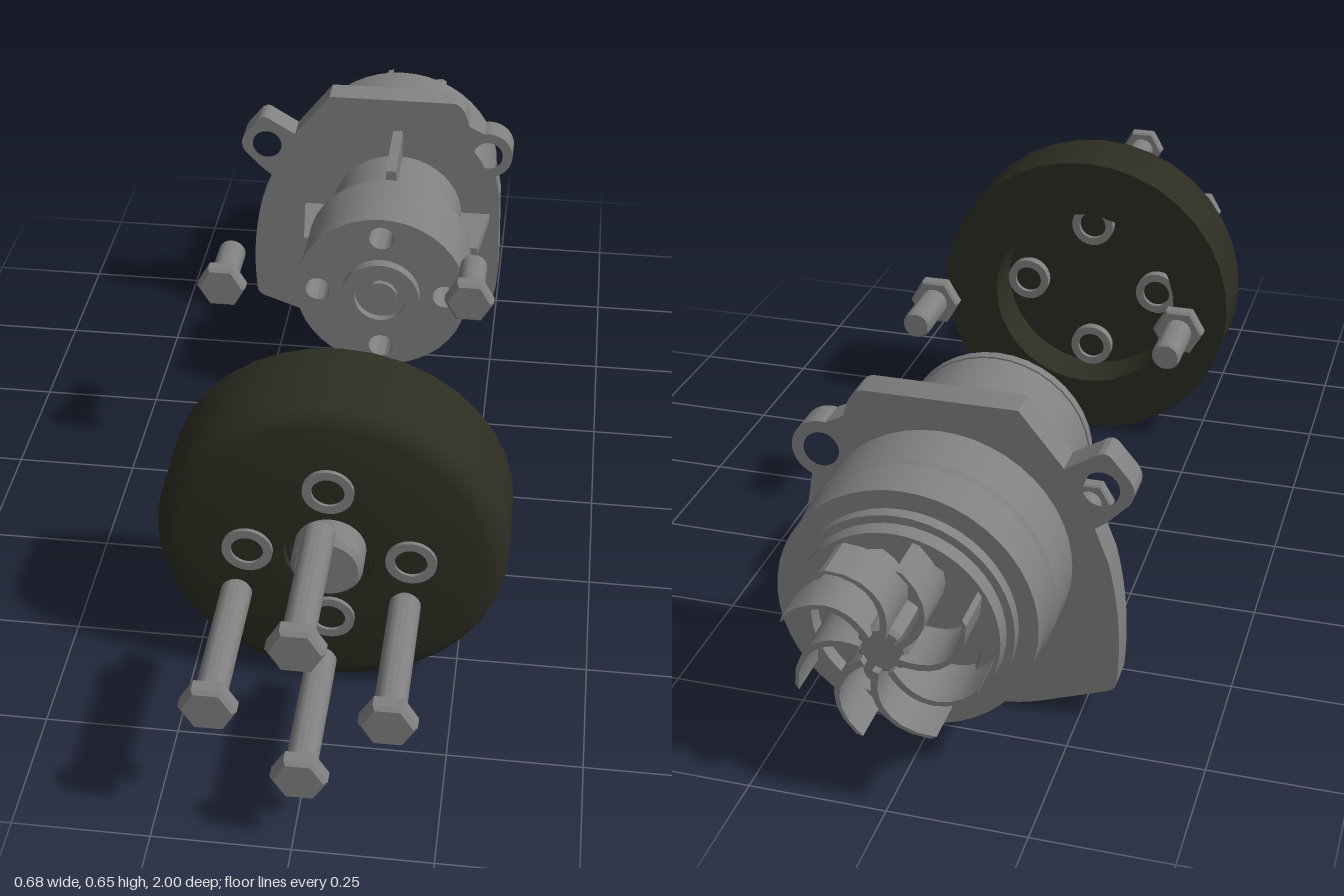
import * as THREE from 'three';
import { toCreasedNormals } from 'three/addons/utils/BufferGeometryUtils.js';

const steel = new THREE.MeshStandardMaterial({ color: 0x808080 });
steel.name = 'steel grey';
const rubber = new THREE.MeshStandardMaterial({ color: 0x2d2d22 });
rubber.name = 'dark olive';

const CX = 0.015, CY = 0.324; // drive axis
const PCD = 0.15;             // bolt circle radius

// Solid of revolution about the z axis; profile is [radius, z] from back to front
function turned(profile, segments = 40, phi = 0) {
  const g = new THREE.LatheGeometry(profile.map(([r, z]) => new THREE.Vector2(r, z)), segments, phi);
  g.rotateX(Math.PI / 2);
  return toCreasedNormals(g, 0.5);
}

// Plate in the xy plane between two depths
function plate(shape, zBack, zFront) {
  const g = new THREE.ExtrudeGeometry(shape, { depth: zFront - zBack, bevelEnabled: false, curveSegments: 20 });
  g.translate(0, 0, zBack);
  return toCreasedNormals(g, 0.5);
}

function add(parent, name, geometry, material = steel, x = 0, y = 0, z = 0) {
  const m = new THREE.Mesh(geometry, material);
  m.name = name;
  m.position.set(x, y, z);
  parent.add(m);
  return m;
}

function group(parent, name, x = 0, y = 0, z = 0) {
  const g = new THREE.Group();
  g.name = name;
  g.position.set(x, y, z);
  parent.add(g);
  return g;
}

function hole(shape, x, y, r) {
  const p = new THREE.Path();
  p.absarc(x, y, r, 0, Math.PI * 2, true);
  shape.holes.push(p);
}

// Hex bolt with the head's front face at local z = 0
function bolt(parent, name, x, y, z, length) {
  const b = group(parent, name, x, y, z);
  add(b, 'boltHead', turned([[0, -0.032], [0.045, -0.032], [0.05, -0.028], [0.05, -0.007], [0.043, 0], [0, 0]], 6, Math.PI / 6));
  add(b, 'boltShank', turned([[0, -length], [0.024, -length], [0.028, -length + 0.006], [0.028, -0.03]], 20));
}

const boltCircle = [0, 1, 2, 3].map(i => [PCD * Math.cos(i * Math.PI / 2), PCD * Math.sin(i * Math.PI / 2)]);
const lugs = [[-0.285, 0.485], [0.22, 0.488], [-0.11, 0.065]];

function buildPulley(root) {
  const pulley = group(root, 'pulley', CX, CY);
  add(pulley, 'pulleyWheel', turned([
    [0, 0.49], [0.2, 0.49], [0.205, 0.4], [0.324, 0.4], [0.324, 0.55], [0.318, 0.568],
    [0.304, 0.582], [0.28, 0.59], [0.084, 0.59], [0.082, 0.578], [0.074, 0.578], [0.074, 0.57], [0, 0.57],
  ], 36), rubber);
  add(pulley, 'pulleyHub', turned([[0, 0.56], [0.066, 0.56], [0.066, 0.622], [0.058, 0.631], [0, 0.631]], 32));
  // Sleeves for the four long bolts
  for (const [x, y] of boltCircle) {
    add(pulley, 'boltSleeve', turned([
      [0.03, 0.47], [0.047, 0.47], [0.047, 0.598], [0.03, 0.598], [0.03, 0.47],
    ], 24), steel, x, y);
    // Dark bottom of each sleeve bore
    add(pulley, 'sleeveBore', turned([[0, 0.48], [0.03, 0.48], [0.03, 0.592], [0, 0.592]], 24), rubber, x, y);
    bolt(root, 'longBolt', CX + x, CY + y, 1, 0.3);
  }
}

function buildDriveEnd(root) {
  const drive = group(root, 'driveEnd', CX, CY);
  // Front drum with threaded holes
  const face = new THREE.Shape();
  face.absarc(0, 0, 0.184, 0, Math.PI * 2, false);
  for (const [x, y] of boltCircle) hole(face, x * 0.93, y * 0.93, 0.027);
  add(drive, 'driveDrum', plate(face, -0.438, -0.268));
  add(drive, 'drumLip', turned([[0.183, -0.286], [0.187, -0.286], [0.187, -0.266], [0.18, -0.266]]));
  add(drive, 'shaftCollar', turned([
    [0, -0.27], [0.085, -0.27], [0.085, -0.245], [0.056, -0.245], [0.056, -0.262], [0.036, -0.262], [0.036, -0.25], [0, -0.25],
  ], 32));
  add(drive, 'bearingNeck', turned([[0, -0.62], [0.15, -0.62], [0.15, -0.43], [0, -0.43]]));
  // Four tapered ribs
  const rib = new THREE.Shape([[0.14, -0.61], [0.215, -0.61], [0.196, -0.455], [0.14, -0.455]]
    .map(p => new THREE.Vector2(...p)));
  for (let i = 0; i < 4; i++) {
    const g = new THREE.ExtrudeGeometry(rib, { depth: 0.022, bevelEnabled: false });
    g.translate(0, 0, -0.011);
    g.rotateX(Math.PI / 2);
    add(drive, 'neckRib', g).rotation.z = i * Math.PI / 2;
  }
}

function buildFlange(root) {
  const s = new THREE.Shape();
  s.moveTo(-0.14, 0.615);
  s.lineTo(0.14, 0.615);
  s.quadraticCurveTo(0.165, 0.61, 0.175, 0.56);
  s.lineTo(0.21, 0.542);
  s.absarc(0.22, 0.488, 0.055, 1.75, -1.2, true);
  s.lineTo(0.25, 0.38);
  s.lineTo(0.255, 0.2);
  s.quadraticCurveTo(0.255, 0.09, 0.225, 0.08);
  s.lineTo(0.02, 0.02);
  s.lineTo(-0.06, 0.011);
  s.quadraticCurveTo(-0.11, 0, -0.18, 0.024);
  s.lineTo(-0.3, 0.068);
  s.quadraticCurveTo(-0.318, 0.075, -0.319, 0.09);
  s.quadraticCurveTo(-0.33, 0.22, -0.3, 0.34);
  s.lineTo(-0.275, 0.405);
  s.lineTo(-0.295, 0.42);
  s.lineTo(-0.334, 0.46);
  s.quadraticCurveTo(-0.352, 0.485, -0.334, 0.51);
  s.lineTo(-0.302, 0.548);
  s.quadraticCurveTo(-0.29, 0.56, -0.275, 0.548);
  s.lineTo(-0.22, 0.515);
  s.closePath();
  for (const [x, y] of lugs) hole(s, x, y, 0.033);
  add(root, 'mountingFlange', plate(s, -0.665, -0.605));
  for (const [x, y] of lugs) bolt(root, 'shortBolt', x, y, -0.006, 0.145);
}

function buildPumpBody(root) {
  const body = group(root, 'pumpBody', 0, 0.32);
  add(body, 'pumpHousing', turned([
    [0, -0.895], [0.145, -0.895], [0.15, -0.915], [0.18, -0.915], [0.183, -0.888], [0.197, -0.888], [0.197, -0.865],
    [0.231, -0.865], [0.231, -0.778], [0.236, -0.77], [0.236, -0.66], [0, -0.66],
  ], 48));
  const impeller = group(body, 'impeller');
  add(impeller, 'impellerHub', turned([[0, -0.985], [0.038, -0.985], [0.045, -0.978], [0.045, -0.89]], 24));
  // Swept blades, each a thin curved outline extruded along the axis
  const outer = [], inner = [];
  for (let i = 0; i <= 8; i++) {
    const t = i / 8, r = 0.035 + 0.137 * t, a = -0.75 * t * t, w = 0.006 / r;
    outer.push(new THREE.Vector2(r * Math.cos(a + w), r * Math.sin(a + w)));
    inner.unshift(new THREE.Vector2(r * Math.cos(a - w), r * Math.sin(a - w)));
  }
  const blade = plate(new THREE.Shape([...outer, ...inner]), -1, -0.89);
  for (let i = 0; i < 8; i++) add(impeller, 'impellerBlade', blade).rotation.z = i * Math.PI / 4 + 0.2;
}

export function createModel() {
  const root = new THREE.Group();
  root.name = 'waterPumpAssembly';
  buildPulley(root);
  buildDriveEnd(root);
  buildFlange(root);
  buildPumpBody(root);
  return root;
}
